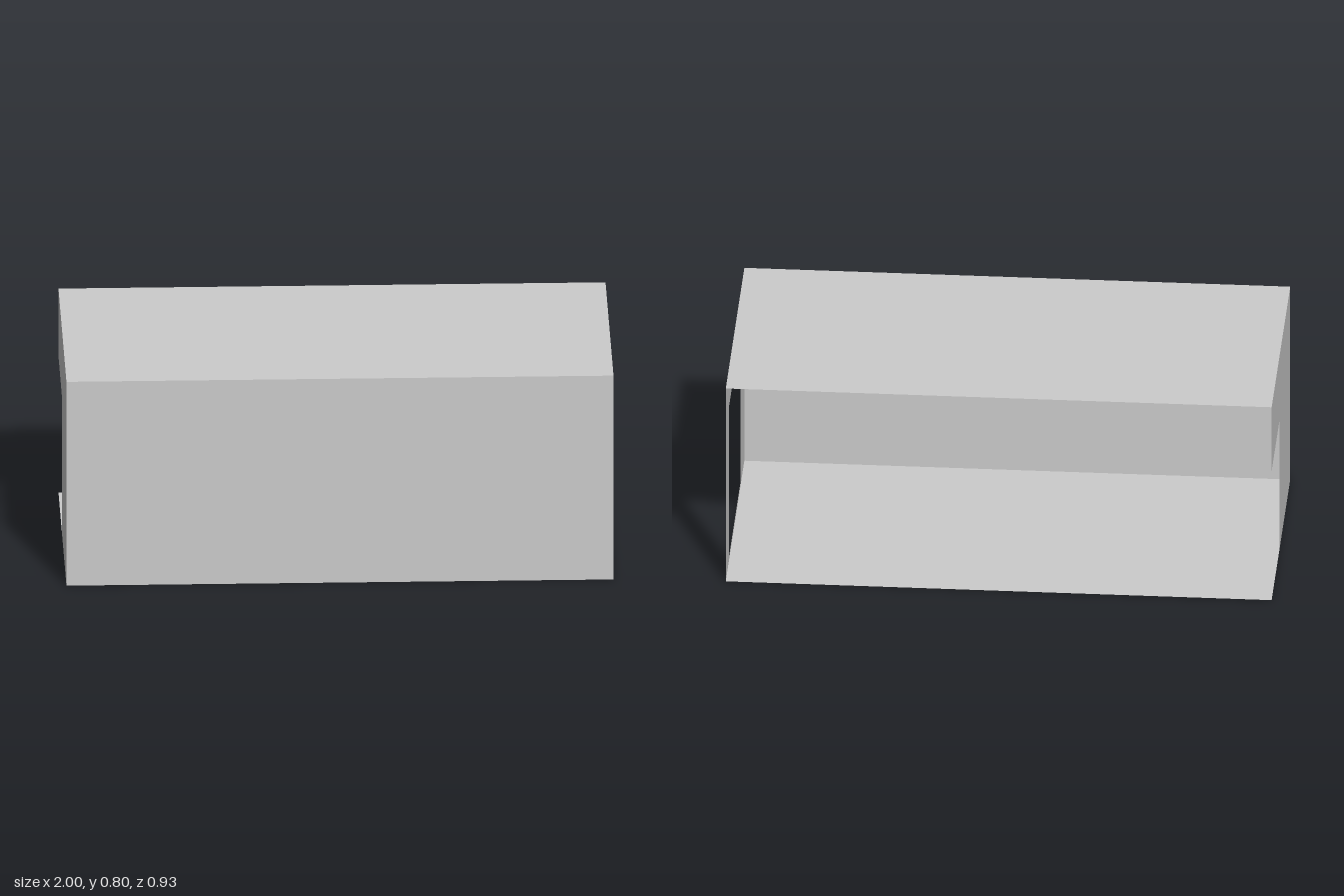
import * as THREE from 'three';

const W = 2, H = 0.8, D = 0.934;
const material = new THREE.MeshStandardMaterial({ color: 0xcccccc, side: THREE.DoubleSide, flatShading: true });

const points = (list) => list.map(([z, y]) => new THREE.Vector2(z, y));

export function createModel() {
  const group = new THREE.Group();
  const add = (name, geometry, x, y, z) => {
    const mesh = new THREE.Mesh(geometry, material);
    mesh.name = name;
    mesh.position.set(x, y, z);
    group.add(mesh);
  };

  // Thin sheets; the back stays fully open
  add('floor', new THREE.PlaneGeometry(W, D).rotateX(-Math.PI / 2), 0, 0, 0);
  add('roof', new THREE.PlaneGeometry(W, D).rotateX(-Math.PI / 2), 0, H, 0);
  add('frontWall', new THREE.PlaneGeometry(W, H), 0, H / 2, D / 2);

  // End wall outlines are drawn as (z, y) and turned to face sideways
  const endWall = (name, outline, hole, x) => {
    const shape = new THREE.Shape(points(outline));
    if (hole) shape.holes.push(new THREE.Path(points(hole)));
    add(name, new THREE.ShapeGeometry(shape).rotateY(-Math.PI / 2), x, 0, 0);
  };
  const b = -D / 2, f = D / 2;

  // Left end: doorway above a low sill
  endWall('leftEndWall', [[b, 0], [f, 0], [f, H], [b, H]],
    [[-0.303, 0.015], [-0.303, 0.637], [0.28, 0.637], [0.28, 0.015]], W / 2);

  // Right end: notch open towards the back
  endWall('rightEndWall', [[-0.066, 0], [f, 0], [f, H], [b, H], [b, 0.535], [-0.066, 0.535]], null, -W / 2);

  return group;
}
